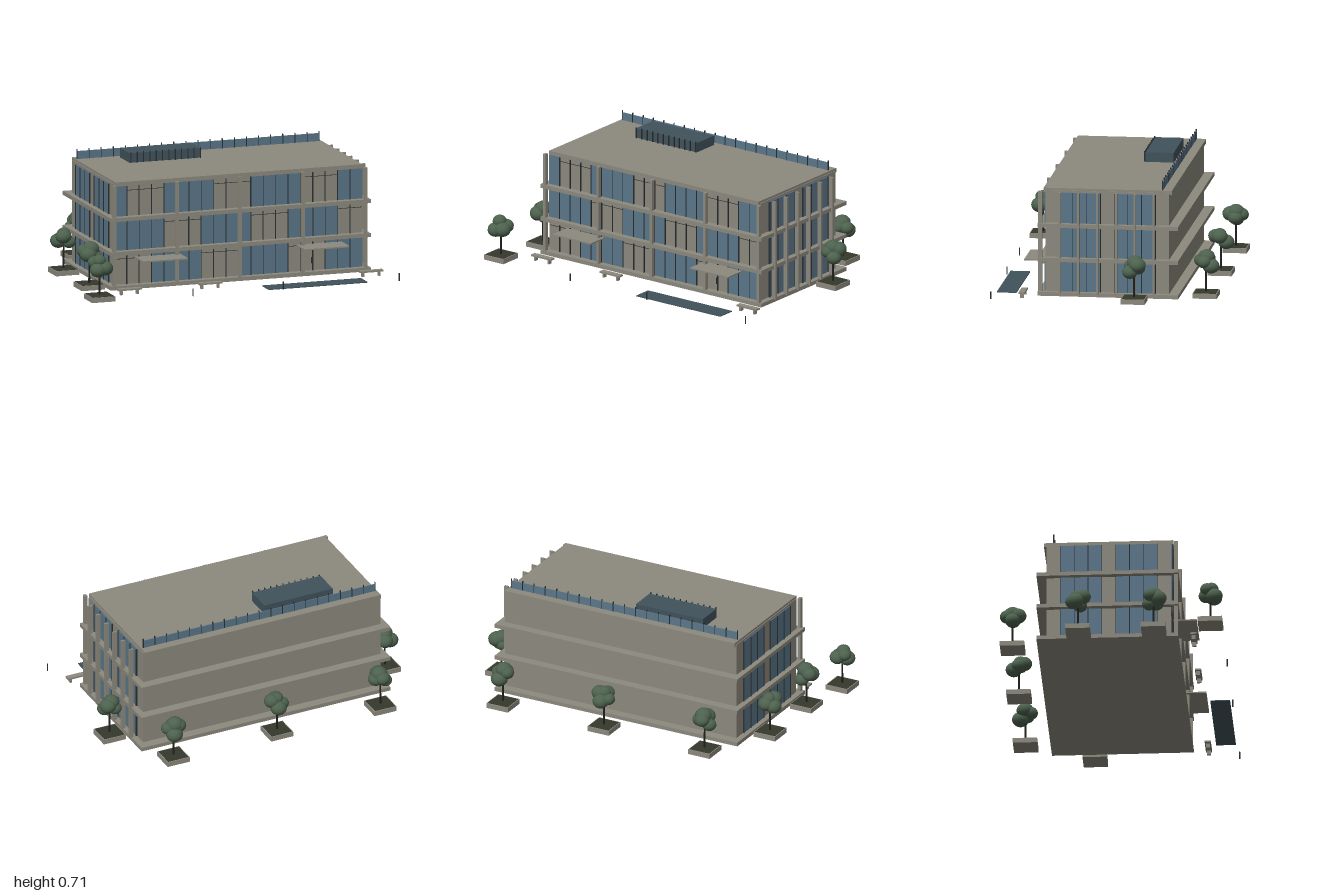
import * as THREE from 'three';

export function createModel() {
  const root = new THREE.Group();
  root.name = 'officeBuilding';
  const mat = (name, color) => Object.assign(new THREE.MeshStandardMaterial({ color }), { name });
  const concrete = mat('concrete', 0x8c897d);
  const glass = mat('blueGlass', 0x5b7689);
  const slate = mat('darkSlate', 0x40525b);
  const metal = mat('darkMetal', 0x2b3032);
  const leaf = mat('foliage', 0x4d624e);
  const soilMat = mat('soil', 0x35382c);
  const bark = mat('bark', 0x1f211c);

  const group = (name, parent = root) => {
    const g = new THREE.Group();
    g.name = name;
    parent.add(g);
    return g;
  };
  // Box given by its minimum and maximum on each axis
  const box = (name, m, x0, x1, y0, y1, z0, z1, parent = root) => {
    const mesh = new THREE.Mesh(new THREE.BoxGeometry(x1 - x0, y1 - y0, z1 - z0), m);
    mesh.position.set((x0 + x1) / 2, (y0 + y1) / 2, (z0 + z1) / 2);
    mesh.name = name;
    parent.add(mesh);
    return mesh;
  };

  // Core walls, floor slabs and roof
  const L = -0.745, R = 0.787, F = 0.345, B = -0.38;
  box('coreWalls', concrete, L, R, 0.02, 0.63, B, F);
  const slabs = group('floorSlabs');
  for (const y of [0.01, 0.213, 0.415]) box('floorSlab', concrete, -0.781, 0.825, y, y + 0.023, -0.437, 0.388, slabs);
  box('roofSlab', concrete, -0.74, 0.782, 0.618, 0.643, -0.395, 0.357);

  // Facade panels: glass and solid bays with slim mullions, shifted on each floor
  const facade = group('facade');
  const floors = [[0.033, 0.213], [0.236, 0.415], [0.438, 0.618]];
  const t = 0.005, bays = 20, sideBays = 9;
  floors.forEach(([y0, y1], f) => {
    const w = (R - L) / bays, d = (F - B) / sideBays;
    for (let i = 0; i < bays; i++) {
      const x = L + i * w;
      const isGlass = (i + 4 + 3 * f) % 7 < 4;
      if (isGlass) box('frontWindow', glass, x, x + w, y0, y1, F, F + t, facade);
      else box('frontTransom', metal, x, x + w, y1 - 0.03, y1 - 0.027, F, F + 0.002, facade);
      if (i) box('frontMullion', metal, x - 0.0018, x + 0.0018, y0, y1, F, F + 0.009, facade);
    }
    for (let i = 0; i < sideBays; i++) {
      const z = F - i * d;
      for (const s of [-1, 1]) {
        const x = s > 0 ? R : L;
        const span = (k) => [Math.min(x, x + s * k), Math.max(x, x + s * k)];
        if (i % 4 !== 0) box('sideWindow', glass, ...span(t), y0, y1, z - d, z, facade);
        if (i) box('sideMullion', metal, ...span(0.009), y0, y1, z - 0.0018, z + 0.0018, facade);
      }
    }
  });

  // Vertical fins on the front and on the +x side
  const fins = group('fins');
  for (let i = 0; i < 5; i++) {
    const x = -0.755 + i * 0.388;
    box('frontFin', concrete, x - 0.009, x + 0.009, 0.02, 0.626, 0.362, 0.386, fins);
  }
  for (let i = 0; i < 6; i++) {
    const z = 0.257 - i * 0.11;
    box('sideFin', concrete, 0.81, 0.836, 0.024, 0.624, z - 0.006, z + 0.006, fins);
  }

  // Entrance canopies and door handles
  for (const x of [-0.478, 0.52]) {
    const e = group('entrance');
    box('canopy', concrete, x - 0.139, x + 0.139, 0.183, 0.191, F, 0.487, e);
  }
  box('doorHandle', metal, 0.472, 0.477, 0.075, 0.112, F, F + 0.012);

  // Rooftop plant room with louvre fins
  const plant = group('rooftopUnit');
  box('unitBody', slate, -0.477, -0.035, 0.64, 0.7, -0.297, -0.133, plant);
  for (let i = 0; i < 12; i++) {
    const x = -0.47 + i * 0.039;
    box('louvreFin', metal, x - 0.002, x + 0.002, 0.64, 0.707, -0.133, -0.124, plant);
  }

  // Rear roof railing
  const rail = group('roofRailing');
  box('railGlass', glass, -0.73, 0.768, 0.643, 0.69, -0.341, -0.336, rail);
  for (let i = 0; i <= 20; i++) {
    const x = -0.729 + i * 0.0748;
    box('railPost', metal, x - 0.002, x + 0.002, 0.64, 0.702, -0.342, -0.334, rail);
  }

  // Reflecting pool
  box('pool', slate, 0.105, 0.715, 0, 0.005, 0.525, 0.64);

  // Benches
  for (const x of [-0.698, -0.2, 0.795]) {
    const b = group('bench');
    box('benchSeat', concrete, x - 0.072, x + 0.072, 0.026, 0.036, 0.457, 0.493, b);
    for (const s of [-1, 1]) {
      const c = x + s * 0.05;
      box('benchLeg', concrete, c - 0.006, c + 0.006, 0, 0.026, 0.463, 0.487, b);
    }
  }

  // Bollards
  const bollardGeo = new THREE.CylinderGeometry(0.004, 0.004, 0.045, 10);
  for (const x of [-0.367, 0.19, 0.907]) {
    const m = new THREE.Mesh(bollardGeo, metal);
    m.name = 'bollard';
    m.position.set(x, 0.0225, 0.65);
    root.add(m);
  }

  // Trees in square planters
  const trunkGeo = new THREE.CylinderGeometry(0.005, 0.0065, 0.165, 8);
  const ball = new THREE.SphereGeometry(1, 16, 12);
  const spots = [[-0.645, -0.583], [0.022, -0.583], [0.69, -0.583], [-0.864, -0.19],
    [-0.864, 0.25], [-0.92, 0.584], [0.912, -0.19]];
  spots.forEach(([x, z], n) => {
    const tree = group('tree');
    tree.position.set(x, 0, z);
    box('planter', concrete, -0.071, 0.071, 0.004, 0.034, -0.071, 0.071, tree);
    box('soil', soilMat, -0.065, 0.065, 0.03, 0.036, -0.065, 0.065, tree);
    const trunk = new THREE.Mesh(trunkGeo, bark);
    trunk.name = 'trunk';
    trunk.position.y = 0.115;
    tree.add(trunk);
    for (let i = 0; i < 5; i++) {
      const a = n * 1.7 + i * Math.PI / 2, top = i === 4;
      const off = top ? 0.008 : 0.031;
      const r = 0.045 + 0.005 * Math.sin(n * 3 + i * 2);
      const m = new THREE.Mesh(ball, leaf);
      m.name = 'leafClump';
      m.scale.set(r, r * 0.88, r);
      m.position.set(off * Math.cos(a), top ? 0.238 : 0.208 + 0.022 * Math.sin(n + i * 2.3), off * Math.sin(a));
      tree.add(m);
    }
  });
  return root;
}
